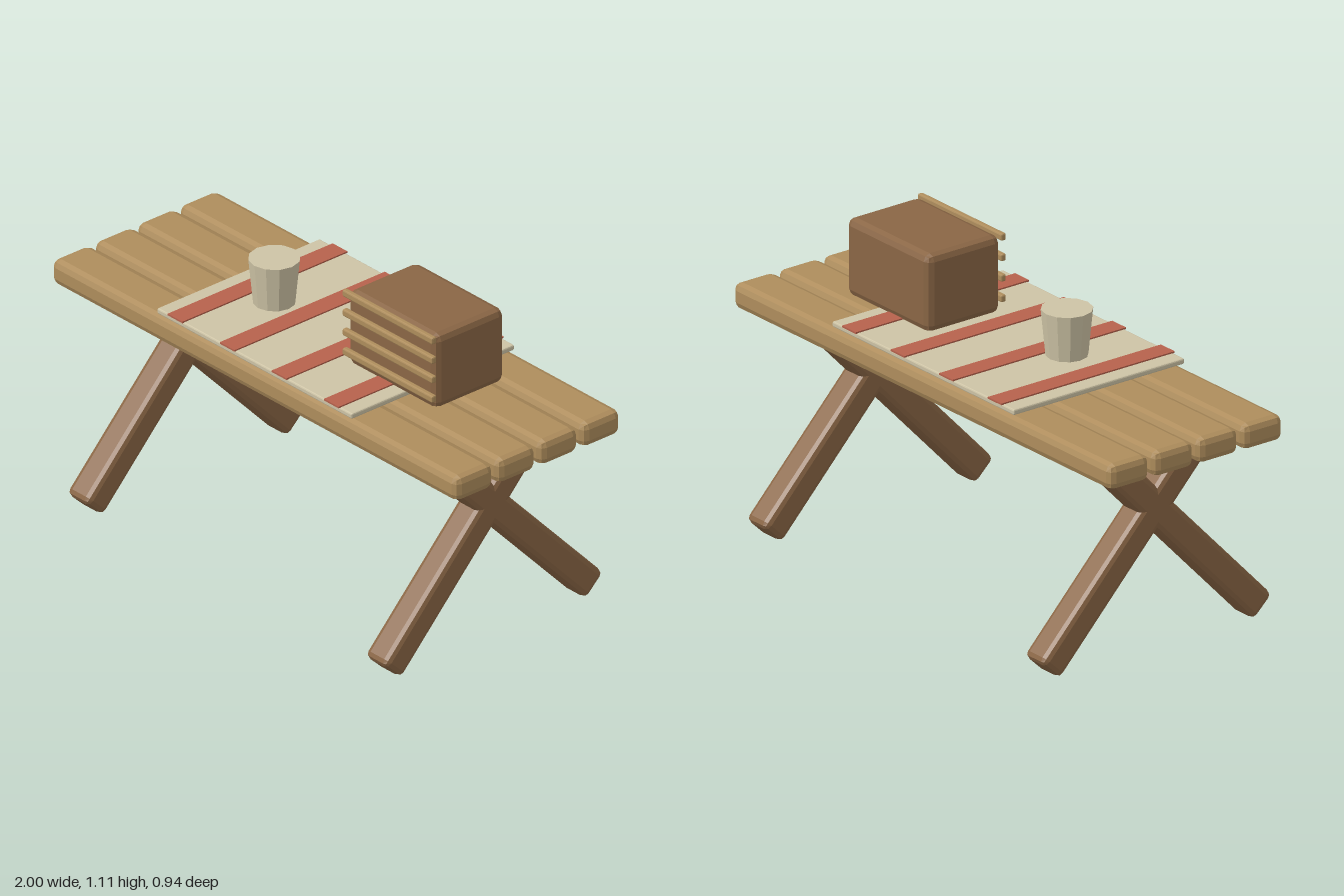
import * as THREE from 'three';
import { RoundedBoxGeometry } from 'three/addons/geometries/RoundedBoxGeometry.js';

const material = (name, color) => {
  const m = new THREE.MeshStandardMaterial({ color });
  m.name = name;
  return m;
};

export function createModel() {
  const model = new THREE.Group();
  model.name = 'picnicTable';

  const lightWood = material('lightWood', 0xae8d5c);
  const darkWood = material('darkWood', 0x8a6645);
  const linen = material('linen', 0xcdc3a5);
  const red = material('redStripe', 0xb6614c);
  for (const m of [lightWood, darkWood, linen, red]) m.flatShading = true;

  // Box with softened edges, added to a parent
  const block = (parent, name, mat, size, pos, bevel) => {
    const geometry = bevel
      ? new RoundedBoxGeometry(...size, 1, bevel)
      : new THREE.BoxGeometry(...size);
    const mesh = new THREE.Mesh(geometry, mat);
    mesh.name = name;
    mesh.position.set(...pos);
    parent.add(mesh);
    return mesh;
  };

  // Table top: four planks with gaps
  const top = new THREE.Group();
  top.name = 'tableTop';
  model.add(top);
  for (let i = 0; i < 4; i++) {
    block(top, 'plank', lightWood, [2, 0.091, 0.165], [0, 0.766, 0.273 - i * 0.185], 0.025);
  }

  // Crossed legs near each end
  for (const x of [-0.735, 0.735]) {
    const trestle = new THREE.Group();
    trestle.name = 'crossedLegs';
    model.add(trestle);
    for (const s of [-1, 1]) {
      const leg = block(trestle, 'leg', darkWood, [0.107, 0.93, 0.106], [x, 0.374, s * 0.121], 0.02);
      leg.rotation.x = -s * 0.76;
    }
  }

  // Cloth with four stripes
  const cloth = new THREE.Group();
  cloth.name = 'tableCloth';
  model.add(cloth);
  block(cloth, 'cloth', linen, [0.96, 0.02, 0.71], [0, 0.831, -0.003], 0.005);
  for (const x of [-0.385, -0.128, 0.128, 0.385]) {
    block(cloth, 'stripe', red, [0.073, 0.006, 0.72], [x, 0.843, -0.003]);
  }

  // Hamper with slats across its front
  const hamper = new THREE.Group();
  hamper.name = 'hamper';
  model.add(hamper);
  block(hamper, 'hamperBody', darkWood, [0.436, 0.275, 0.302], [0.422, 0.973, -0.024], 0.025);
  for (let i = 0; i < 4; i++) {
    block(hamper, 'slat', lightWood, [0.444, 0.025, 0.02], [0.422, 0.885 + i * 0.0725, 0.136], 0.005);
  }

  // Tapered cup
  const cup = new THREE.Mesh(new THREE.CylinderGeometry(0.087, 0.071, 0.163, 12), linen);
  cup.name = 'cup';
  cup.position.set(-0.241, 0.937, 0.051);
  model.add(cup);

  return model;
}
